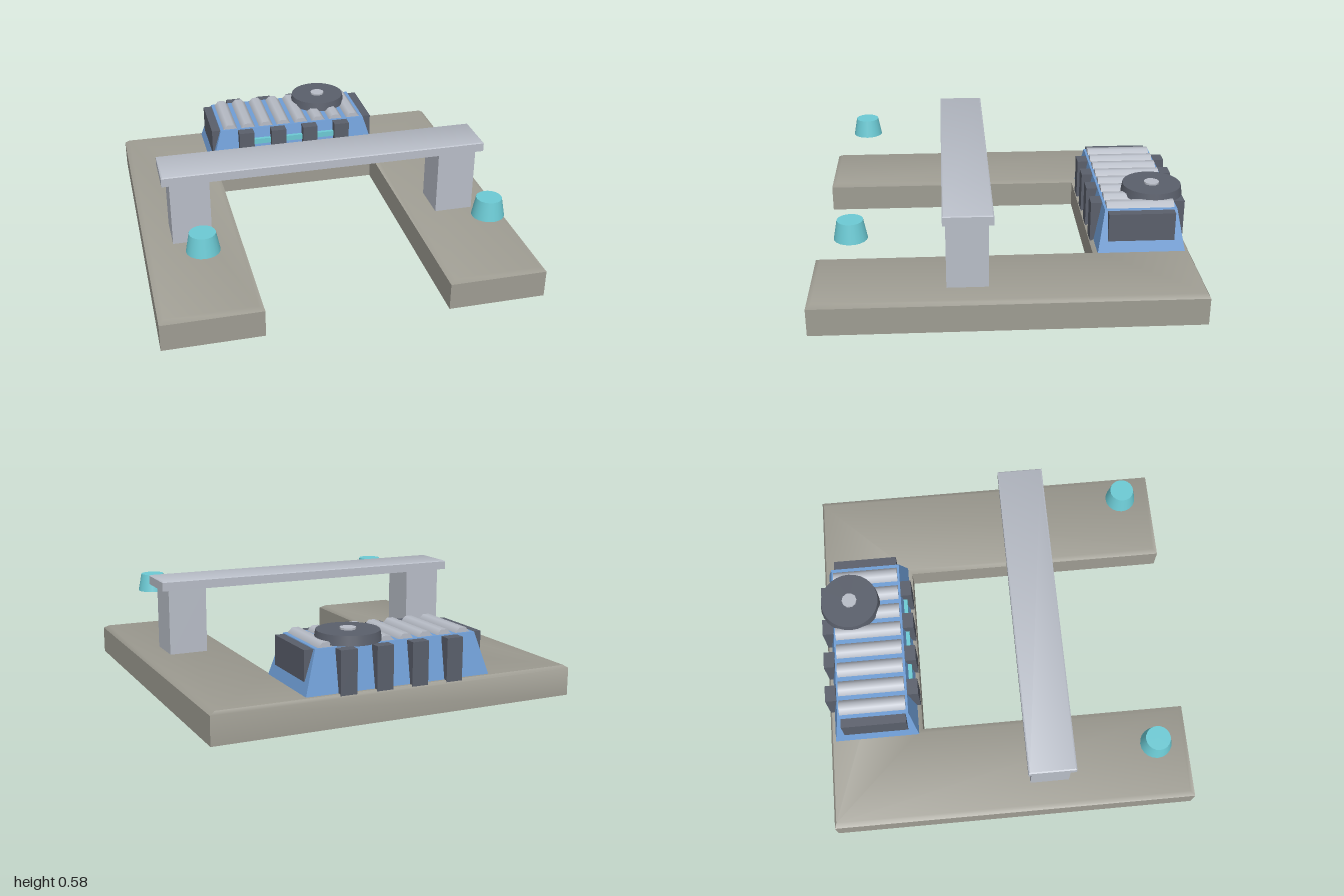
import * as THREE from 'three';
import { toCreasedNormals } from 'three/addons/utils/BufferGeometryUtils.js';

const mat = (name, color) => {
  const m = new THREE.MeshStandardMaterial({ color });
  m.name = name;
  return m;
};

// Closed solid through stacked outlines: levels are [y, [[x, z], ...]] from bottom to top.
function loft(levels, crease) {
  const pos = [];
  const put = (y, p) => pos.push(p[0], y, p[1]);
  for (let l = 0; l < levels.length - 1; l++) {
    const [y0, a] = levels[l], [y1, b] = levels[l + 1];
    a.forEach((p, i) => {
      const j = (i + 1) % a.length;
      put(y0, p); put(y1, b[i]); put(y1, b[j]);
      put(y0, p); put(y1, b[j]); put(y0, a[j]);
    });
  }
  const cap = ([y, pts], up) => {
    const tris = THREE.ShapeUtils.triangulateShape(pts.map(p => new THREE.Vector2(...p)), []);
    for (const [a, b, c] of tris) (up ? [a, c, b] : [a, b, c]).forEach(i => put(y, pts[i]));
  };
  cap(levels[0], false);
  cap(levels[levels.length - 1], true);
  const g = new THREE.BufferGeometry();
  g.setAttribute('position', new THREE.Float32BufferAttribute(pos, 3));
  g.computeVertexNormals();
  return toCreasedNormals(g, crease);
}

const rect = (x0, x1, z0, z1) => [[x0, z0], [x1, z0], [x1, z1], [x0, z1]];

// U-shaped outline, open to the front, shrunk by d
const slabOutline = d => [
  [-1 + d, -1 + d * 0.4], [1 - d, -1 + d * 0.4], [1 - d, 1 - d], [0.48 + d, 1 - d],
  [0.48 + d, -0.48 - d], [-0.48 - d, -0.48 - d], [-0.48 - d, 1 - d], [-1 + d, 1 - d],
];

export function createModel() {
  const stone = mat('stone', 0x9e9c92);
  const metal = mat('lightMetal', 0xb8bdc7);
  const blue = mat('bluePaint', 0x6f9ed6);
  const dark = mat('darkMetal', 0x5a5f6b);
  const teal = mat('tealGlow', 0x6ccad4);

  const model = new THREE.Group();
  model.name = 'platformWithMachine';
  const add = (name, geo, material, x = 0, y = 0, z = 0) => {
    const m = new THREE.Mesh(geo, material);
    m.name = name;
    m.position.set(x, y, z);
    model.add(m);
    return m;
  };
  const box = (name, material, x0, x1, y0, y1, z0, z1) =>
    add(name, new THREE.BoxGeometry(x1 - x0, y1 - y0, z1 - z0), material,
      (x0 + x1) / 2, (y0 + y1) / 2, (z0 + z1) / 2);

  // Ground slab with a chamfered top edge
  add('baseSlab', loft([[0, slabOutline(0)], [0.148, slabOutline(0)], [0.165, slabOutline(0.027)]], 0.8), stone);

  // Gantry
  add('crossbar', loft([
    [0.525, rect(-0.887, 0.887, 0.07, 0.325)],
    [0.572, rect(-0.887, 0.887, 0.07, 0.325)],
    [0.577, rect(-0.88, 0.88, 0.077, 0.318)],
  ], 0.8), metal);
  for (const s of [-1, 1]) {
    const side = s > 0 ? 'left' : 'right';
    const pillar = box(side + 'Pillar', metal, 0.635, 0.847, 0.16, 0.53, 0.095, 0.31);
    pillar.position.x *= s;
    // Hovering beacons
    add(side + 'Beacon', new THREE.CylinderGeometry(0.066, 0.085, 0.1, 20), teal, s * 0.74, 0.455, 0.78);
    // End panels of the machine
    const panel = box(side + 'EndPanel', dark, 0.436, 0.496, 0.225, 0.381, -0.915, -0.558);
    panel.position.x *= s;
  }

  // Machine housing with sloping walls
  add('housing', loft([
    [0.155, rect(-0.515, 0.515, -0.975, -0.501)],
    [0.385, rect(-0.445, 0.445, -0.932, -0.543)],
  ], 0.3), blue);

  // Upright ribs on front and back
  for (const x of [-0.295, -0.098, 0.098, 0.295]) {
    box('frontRib', dark, x - 0.045, x + 0.045, 0.155, 0.381, -0.545, -0.482);
    box('backRib', dark, x - 0.045, x + 0.045, 0.155, 0.381, -0.995, -0.935);
  }

  // Light strips between the front ribs
  for (const x of [-0.197, 0, 0.197])
    box('lightStrip', teal, x - 0.054, x + 0.054, 0.29, 0.322, -0.555, -0.51);

  // Half-sunk octagonal rods across the roof
  const rod = new THREE.CylinderGeometry(0.046, 0.046, 0.365, 8);
  rod.rotateY(Math.PI / 8).rotateX(Math.PI / 2);
  for (let i = 0; i < 8; i++)
    add('roofRod', rod, metal, (i - 3.5) * 0.1095, 0.3675, -0.738);

  // Roof fan
  add('fanDisc', new THREE.CylinderGeometry(0.16, 0.168, 0.05, 28), dark, 0.222, 0.417, -0.83);
  add('fanHub', new THREE.CylinderGeometry(0.042, 0.042, 0.02, 10), metal, 0.222, 0.442, -0.83);

  return model;
}
